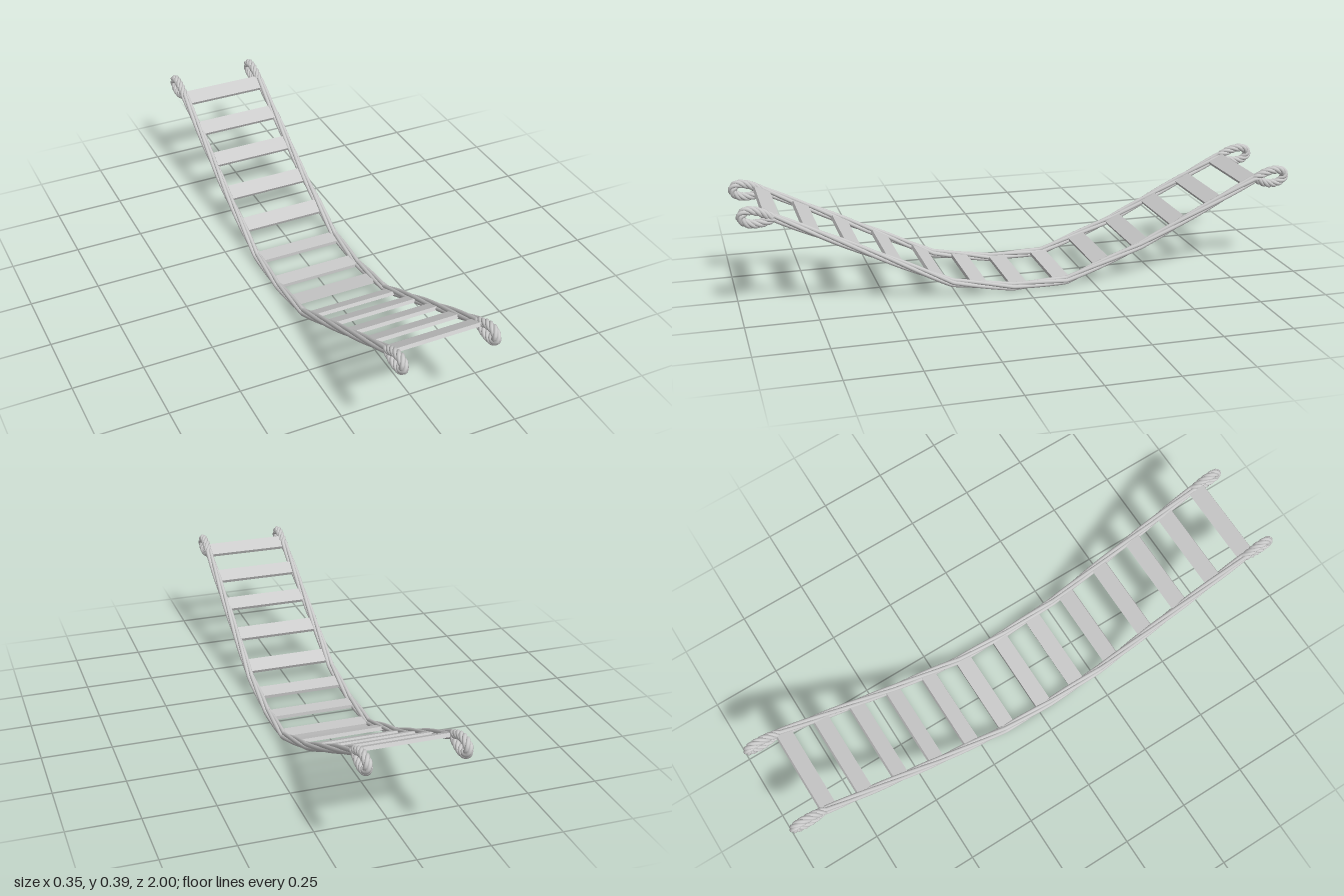
import * as THREE from 'three';

const material = new THREE.MeshStandardMaterial({ color: 0xcccccc });

// Sagging walkway and end loops, as [z, y]
const span = [[0.88, 0.35], [0.27, 0.055], [0.05, 0.018], [-0.15, 0.022], [-0.43, 0.128], [-0.87, 0.345]];
const frontLoop = [[0.875, 0.347], [0.9, 0.337], [0.935, 0.331], [0.967, 0.337], [0.984, 0.357],
  [0.968, 0.377], [0.93, 0.374], [0.88, 0.35]];
const backLoop = [[-0.87, 0.345], [-0.91, 0.364], [-0.95, 0.371], [-0.977, 0.363], [-0.984, 0.346],
  [-0.966, 0.327], [-0.93, 0.321], [-0.895, 0.33], [-0.872, 0.343]];
const toVec = ([z, y]) => new THREE.Vector3(0, y, z);

function ropePath() {
  const path = new THREE.CurvePath();
  path.add(new THREE.CatmullRomCurve3(frontLoop.map(toVec)));
  for (let i = 1; i < span.length; i++) path.add(new THREE.LineCurve3(toVec(span[i - 1]), toVec(span[i])));
  path.add(new THREE.CatmullRomCurve3(backLoop.map(toVec)));
  return path;
}

// Twisted strands: tight lay in the loops, almost straight along the span
function makeRope(name, x) {
  const rope = new THREE.Group();
  rope.name = name;
  const strands = 4, steps = 280, offset = 0.0085, radius = 0.0075;
  const pts = ropePath().getSpacedPoints(steps);
  const lines = Array.from({ length: strands }, () => []);
  let twist = 0;
  pts.forEach((p, i) => {
    const a = pts[Math.max(i - 1, 0)], b = pts[Math.min(i + 1, steps)];
    const t = b.clone().sub(a).normalize();
    const normal = new THREE.Vector3(0, t.z, -t.y);
    if (i > 0) twist += p.distanceTo(a) * Math.PI * 2 / (Math.abs(p.z) > 0.87 ? 0.09 : 0.8);
    lines.forEach((line, k) => {
      const angle = twist + (k + 0.5) * Math.PI * 2 / strands;
      const q = p.clone().addScaledVector(normal, Math.sin(angle) * offset);
      q.x += Math.cos(angle) * offset;
      line.push(q);
    });
  });
  lines.forEach((line) => {
    const strand = new THREE.Mesh(
      new THREE.TubeGeometry(new THREE.CatmullRomCurve3(line), steps, radius, 8), material);
    strand.name = 'ropeStrand';
    rope.add(strand);
    // Rounded strand ends
    for (const end of [line[0], line[steps]]) {
      const tip = new THREE.Mesh(new THREE.SphereGeometry(radius, 8, 6), material);
      tip.name = 'strandTip';
      tip.position.copy(end);
      rope.add(tip);
    }
  });
  rope.position.x = x;
  return rope;
}

// Height and slope of the span at a given z
function spanAt(z) {
  let i = 1;
  while (i < span.length - 1 && z < span[i][0]) i++;
  const [z0, y0] = span[i - 1], [z1, y1] = span[i];
  const slope = (y1 - y0) / (z1 - z0);
  return { y: y0 + slope * (z - z0), slope };
}

export function createModel() {
  const model = new THREE.Group();
  model.name = 'ropeBridge';
  model.add(makeRope('leftRope', 0.161), makeRope('rightRope', -0.161));

  // Walkway planks, tilted to follow the ropes
  const plankZ = [0.884, 0.751, 0.614, 0.471, 0.323, 0.172, 0.026, -0.135, -0.286, -0.434, -0.577, -0.714, -0.85];
  const plankGeometry = new THREE.BoxGeometry(0.31, 0.013, 0.06);
  for (const z of plankZ) {
    const { y, slope } = spanAt(z);
    const plank = new THREE.Mesh(plankGeometry, material);
    plank.name = 'plank';
    plank.position.set(0, y, z);
    plank.rotation.x = -Math.atan(slope);
    model.add(plank);
  }
  return model;
}
